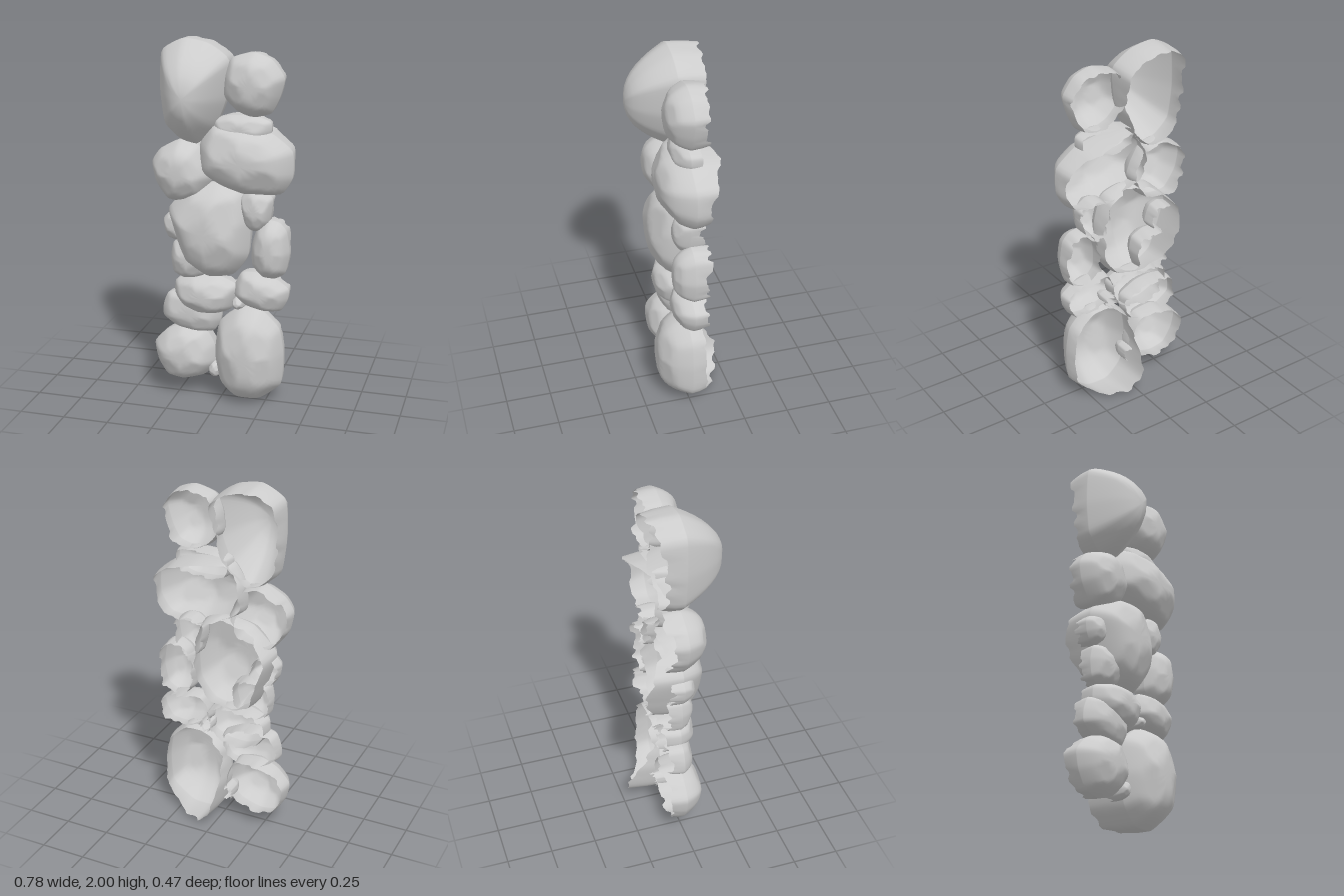
import * as THREE from 'three';

const material = new THREE.MeshStandardMaterial({ color: 0xcccccc, side: THREE.DoubleSide });

// centre x, y, half width, half height, front bulge (hundredths), tilt in degrees, taper (wider top)
const stones = {
  upperLeftStone: [-15, 172, 19, 28, 24, -5, 0.22],
  upperRightStone: [17, 177, 16.5, 17, 11.5, -18, 0.05],
  upperWedgeStone: [11, 153, 16, 8, 7, 0, 0.1],
  shoulderStone: [13, 137, 26, 19, 15, -16, 0],
  leftShoulderStone: [-22, 129, 17, 17, 13, 25, 0],
  centreStone: [-7, 97, 23, 27, 15.5, 12, 0.15],
  rightChinkStone: [19, 110, 9, 12, 8, 0, 0.2],
  rightWaistStone: [27, 88.5, 10.5, 16.5, 10, -5, -0.1],
  leftPebble: [-25, 98, 8, 8.5, 7, 20, 0],
  leftWaistStone: [-18, 80, 11, 12, 8, 0, 0],
  lowerCentreStone: [-9, 60, 18, 11.5, 11, 0, 0.15],
  lowerRightStone: [22, 64, 15.5, 11, 9, -14, 0],
  lowerLeftStone: [-17, 49, 17, 12, 7.5, -10, 0],
  baseLeftStone: [-21, 24.5, 18, 16.5, 12, 20, 0],
  baseRightStone: [15.5, 27.5, 19.5, 27.5, 16, 2, -0.05],
  smallPebble: [9.5, 56.5, 3.5, 3.5, 6, 0, 0],
  basePebble: [-3.5, 16.5, 4, 5, 6, 0, 0],
};

// rear flaps: direction in degrees, extra depth
const flaps = {
  upperLeftStone: [80, 7],
  shoulderStone: [70, 8],
  centreStone: [190, 12],
  baseRightStone: [230, 15],
};

// small seeded noise in -0.5..0.5
function noise(i, seed) {
  const n = Math.sin(i * 12.9898 + seed * 78.233) * 43758.5453;
  return n - Math.floor(n) - 0.5;
}

// an irregular ten-cornered outline with softened corners, fitted to the half sizes
function stoneOutline(halfWidth, halfHeight, tilt, taper, seed, count) {
  const corners = [];
  for (let k = 0; k < 10; k++) {
    const a = ((k + 0.3 * noise(k, seed)) / 10) * Math.PI * 2;
    const c = Math.cos(a), s = Math.sin(a);
    const r = (Math.abs(c) ** 2.8 + Math.abs(s) ** 2.8) ** (-1 / 2.8) * (1 + 0.06 * noise(k + 20, seed));
    corners.push(new THREE.Vector3(r * c * halfWidth * (1 + taper * s), r * s * halfHeight, 0)
      .applyAxisAngle(new THREE.Vector3(0, 0, 1), THREE.MathUtils.degToRad(tilt)));
  }
  const points = new THREE.CatmullRomCurve3(corners, true, 'catmullrom', 0.25).getSpacedPoints(count).slice(0, count);
  const box = new THREE.Box3().setFromPoints(points);
  const centre = box.getCenter(new THREE.Vector3());
  const size = box.getSize(new THREE.Vector3());
  return points.map((p) => new THREE.Vector2(
    ((p.x - centre.x) * 2 * halfWidth) / size.x,
    ((p.y - centre.y) * 2 * halfHeight) / size.y,
  ));
}

// a domed, chipped front and a side wall ending in a jagged open rim
function stoneGeometry([, , halfWidth, halfHeight, bulge, tilt, taper], [flapAngle, flapDepth], seed) {
  const count = 60;
  const rim = stoneOutline(halfWidth, halfHeight, tilt, taper, seed, count);
  const roundness = bulge > 20 ? 2.3 : 3.8;
  const position = [0, 0, bulge];

  // front dome, cut by four sloping facets
  const scales = [0.15, 0.3, 0.42, 0.54, 0.65, 0.75, 0.84, 0.91, 0.96, 0.99, 1];
  for (const s of scales) {
    for (const p of rim) {
      const x = p.x * s, y = p.y * s;
      let height = 1 - s ** roundness;
      for (let k = 0; k < 4; k++) {
        const a = ((k + 0.5 + 0.6 * noise(k + 40, seed)) * Math.PI) / 2;
        const lean = (Math.cos(a) * x) / halfWidth + (Math.sin(a) * y) / halfHeight;
        height = Math.min(height, 1.22 - 0.75 * lean);
      }
      position.push(x, y, bulge * height);
    }
  }

  // rear wall, drawn slightly inward
  const direction = THREE.MathUtils.degToRad(flapAngle);
  for (const t of [0.5, 1]) {
    rim.forEach((p, i) => {
      const reach = Math.max(0, Math.cos(p.angle() - direction)) ** 2 * flapDepth;
      const jag = 2.5 * noise(Math.floor(i / 5), seed) + 3 * noise(Math.floor(i / 2), seed + 30);
      const depth = 5.5 + 0.15 * bulge + reach + jag;
      const s = 1 - 0.06 * t * t;
      position.push(p.x * s, p.y * s, -t * depth);
    });
  }

  const index = [];
  for (let i = 0; i < count; i++) {
    const j = (i + 1) % count;
    index.push(0, 1 + i, 1 + j);
    for (let r = 0; r < scales.length + 1; r++) {
      const a = 1 + r * count, b = a + count;
      index.push(a + i, b + i, a + j, a + j, b + i, b + j);
    }
  }
  const geometry = new THREE.BufferGeometry();
  geometry.setAttribute('position', new THREE.Float32BufferAttribute(position, 3));
  geometry.setIndex(index);
  geometry.scale(0.01, 0.01, 0.01);
  geometry.computeVertexNormals();
  return geometry;
}

export function createModel() {
  const group = new THREE.Group();
  group.name = 'stonePillar';
  Object.entries(stones).forEach(([name, stone], i) => {
    const mesh = new THREE.Mesh(stoneGeometry(stone, flaps[name] ?? [90, 2], i + 1), material);
    mesh.name = name;
    mesh.position.set(stone[0] / 100, stone[1] / 100, 0);
    group.add(mesh);
  });
  return group;
}
